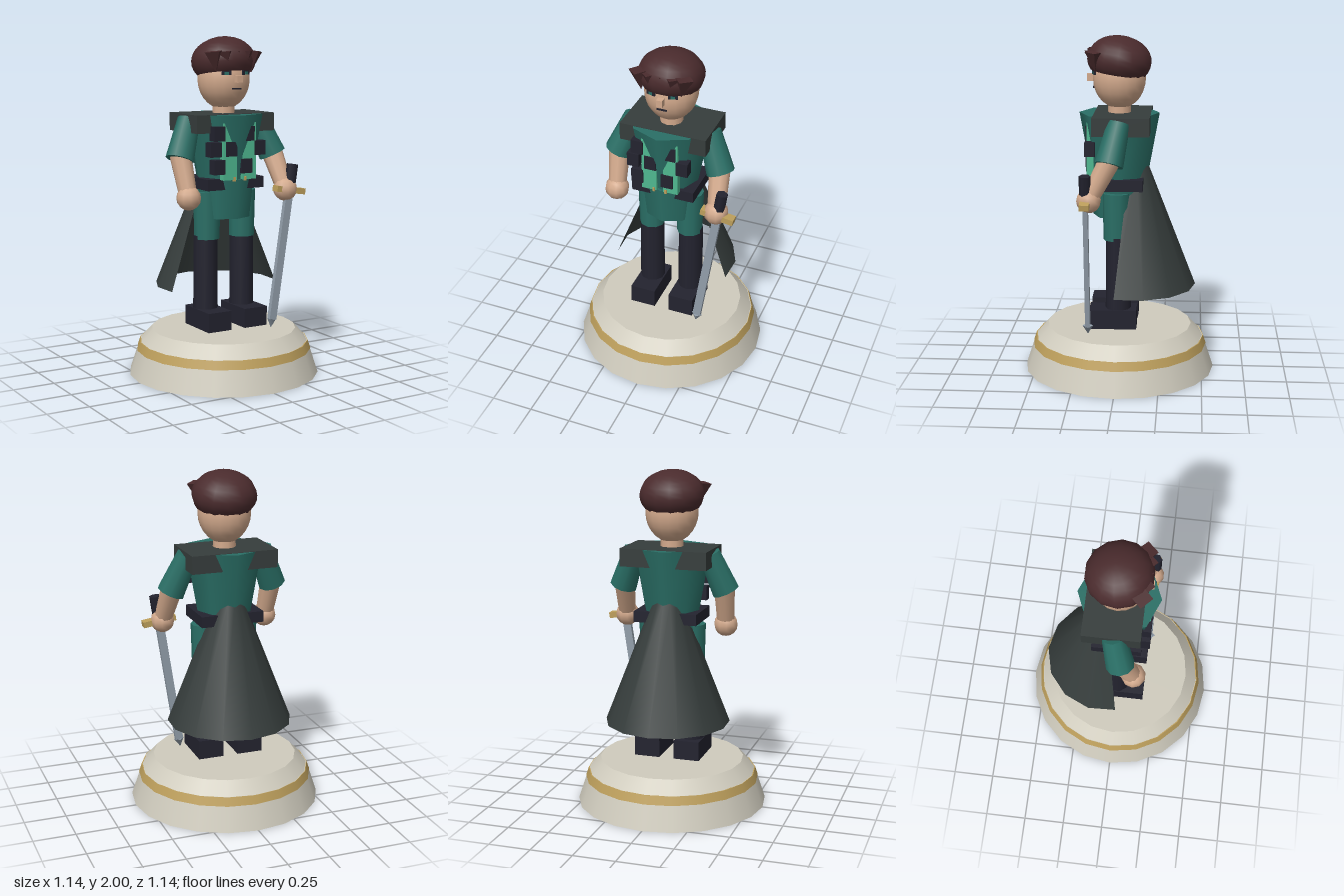
import * as THREE from 'three';

const mat = (name, color, side = THREE.FrontSide) => {
  const m = new THREE.MeshStandardMaterial({ color, side });
  m.name = name;
  return m;
};

export function createModel() {
  const skin = mat('skin', 0xd2a98c);
  const hair = mat('hair brown', 0x4a2b2d);
  const teal = mat('tunic teal', 0x2a6f66);
  const bright = mat('trim green', 0x4fb890);
  const cloth = mat('cape grey', 0x363d3c, THREE.DoubleSide);
  const navy = mat('dark leather', 0x23232f);
  const stone = mat('stone', 0xcfcbbd);
  const gold = mat('gold', 0xbd9f5c);
  const steel = mat('steel', 0x929eaa);

  const model = new THREE.Group();
  model.name = 'swordsman';

  const add = (name, geo, material, x = 0, y = 0, z = 0, parent = model) => {
    const m = new THREE.Mesh(geo, material);
    m.name = name;
    m.position.set(x, y, z);
    parent.add(m);
    return m;
  };
  const box = (name, material, w, h, d, x, y, z, parent) =>
    add(name, new THREE.BoxGeometry(w, h, d), material, x, y, z, parent);
  // upright cylinder between two heights
  const column = (name, material, rTop, rBottom, y0, y1, sides, x = 0, z = 0, parent = model) =>
    add(name, new THREE.CylinderGeometry(rTop, rBottom, y1 - y0, sides), material, x, (y0 + y1) / 2, z, parent);
  // tapered limb from point a to point b
  const limb = (name, material, a, b, rA, rB, sides = 10) => {
    const from = new THREE.Vector3(...a), to = new THREE.Vector3(...b);
    const dir = to.clone().sub(from);
    const m = add(name, new THREE.CylinderGeometry(rB, rA, dir.length(), sides), material);
    m.position.copy(from).addScaledVector(dir, 0.5);
    m.quaternion.setFromUnitVectors(new THREE.Vector3(0, 1, 0), dir.normalize());
    return m;
  };

  // pedestal
  column('pedestalFoot', stone, 0.505, 0.57, 0, 0.195, 20);
  column('pedestalBand', gold, 0.508, 0.525, 0.145, 0.195, 20);
  column('pedestalTop', stone, 0.433, 0.502, 0.195, 0.27, 20);

  // legs and boots
  for (const s of [-1, 1]) {
    column('bootShaft', navy, 0.072, 0.075, 0.38, 0.84, 10, s * 0.125);
    column('shorts', teal, 0.083, 0.076, 0.82, 1.1, 10, s * 0.12, 0.01);
    box('bootFoot', navy, 0.155, 0.115, 0.28, s * 0.123, 0.345, 0.03);
  }

  // tunic and belt
  column('tunicSkirt', teal, 0.182, 0.157, 0.945, 1.18, 8);
  column('tunicBody', teal, 0.235, 0.165, 1.17, 1.555, 8);
  box('belt', navy, 0.38, 0.065, 0.29, 0, 1.152, 0);
  for (const s of [-1, 1]) {
    box('chestPanel', bright, 0.09, 0.33, 0.04, s * 0.065, 1.345, 0.165);
    box('buckle', gold, 0.014, 0.025, 0.012, s * 0.037, 1.185, 0.184);
  }
  const pouches = [[-0.137, 1.45], [-0.162, 1.36], [-0.137, 1.258], [-0.056, 1.36],
    [0.06, 1.445], [0.135, 1.36], [0.045, 1.258]];
  for (const [x, y] of pouches) box('pouch', navy, 0.072, 0.084, 0.06, x, y, 0.163);

  // shoulder mantle and cape
  box('shoulderMantle', cloth, 0.52, 0.105, 0.33, 0, 1.505, -0.02);
  const sweep = Math.PI * 1.17;
  add('cape', new THREE.CylinderGeometry(0.085, 0.37, 0.73, 8, 1, true, Math.PI - sweep / 2, sweep),
    cloth, 0, 0.885, -0.085);

  // arms
  for (const s of [-1, 1]) {
    const hand = s < 0 ? [-0.3, 1.085, 0.115] : [0.335, 1.1, 0.155];
    const elbow = [s * 0.317, 1.3, 0.04];
    limb('sleeve', teal, [s * 0.228, 1.525, -0.01], elbow, 0.066, 0.083);
    limb('forearm', skin, [s * 0.31, 1.33, 0.035], hand, 0.064, 0.052);
    add('hand', new THREE.SphereGeometry(0.072, 10, 8), skin, ...hand);
  }

  // sword, leaning with its point on the pedestal
  const sword = new THREE.Group();
  sword.name = 'sword';
  sword.position.set(0.352, 1.095, 0.173);
  sword.rotation.z = -0.15;
  model.add(sword);
  box('swordGuard', gold, 0.2, 0.035, 0.056, 0, 0, 0, sword);
  column('swordGrip', navy, 0.034, 0.034, 0.0, 0.155, 6, 0, 0, sword);
  box('swordBlade', steel, 0.048, 0.77, 0.028, 0, -0.4, 0, sword);
  const tip = add('swordTip', new THREE.ConeGeometry(0.032, 0.055, 4), steel, 0, -0.81, 0, sword);
  tip.rotation.x = Math.PI;

  // head and face
  column('neck', skin, 0.065, 0.068, 1.53, 1.63, 10);
  add('head', new THREE.SphereGeometry(0.155, 18, 14), skin, 0, 1.755, 0).scale.y = 1.14;
  box('nose', skin, 0.036, 0.042, 0.05, 0, 1.76, 0.163);
  box('mouth', navy, 0.06, 0.009, 0.009, 0, 1.703, 0.148);
  for (const s of [-1, 1]) {
    const eye = new THREE.Group();
    eye.name = 'eye';
    eye.position.set(s * 0.065, 1.795, 0.143);
    eye.rotation.y = s * 0.3;
    model.add(eye);
    box('eyeDark', navy, 0.056, 0.026, 0.009, 0, 0, 0, eye);
    box('iris', teal, 0.024, 0.016, 0.008, 0, -0.003, 0.003, eye);
  }

  // hair cap and spiky fringe
  const cap = add('hairCap', new THREE.SphereGeometry(0.19, 14, 10, 0, Math.PI * 2, 0, Math.PI * 0.68),
    hair, 0, 1.86, 0);
  cap.material.side = THREE.DoubleSide;
  cap.scale.y = 0.74;
  cap.rotation.x = -0.15;
  const fringe = [[-0.135, 0.132, 0.06], [-0.07, 0.14, 0.055], [0, 0.13, 0.05],
    [0.06, 0.142, 0.055], [0.115, 0.132, 0.06]];
  fringe.forEach(([x, z, r], i) => {
    const lock = add('fringeLock', new THREE.ConeGeometry(r, 0.12, 4).toNonIndexed(), hair, x, 1.858, z);
    lock.geometry.computeVertexNormals();
    lock.rotation.set(Math.PI, 0, (i - 2) * 0.06);
  });

  return model;
}
